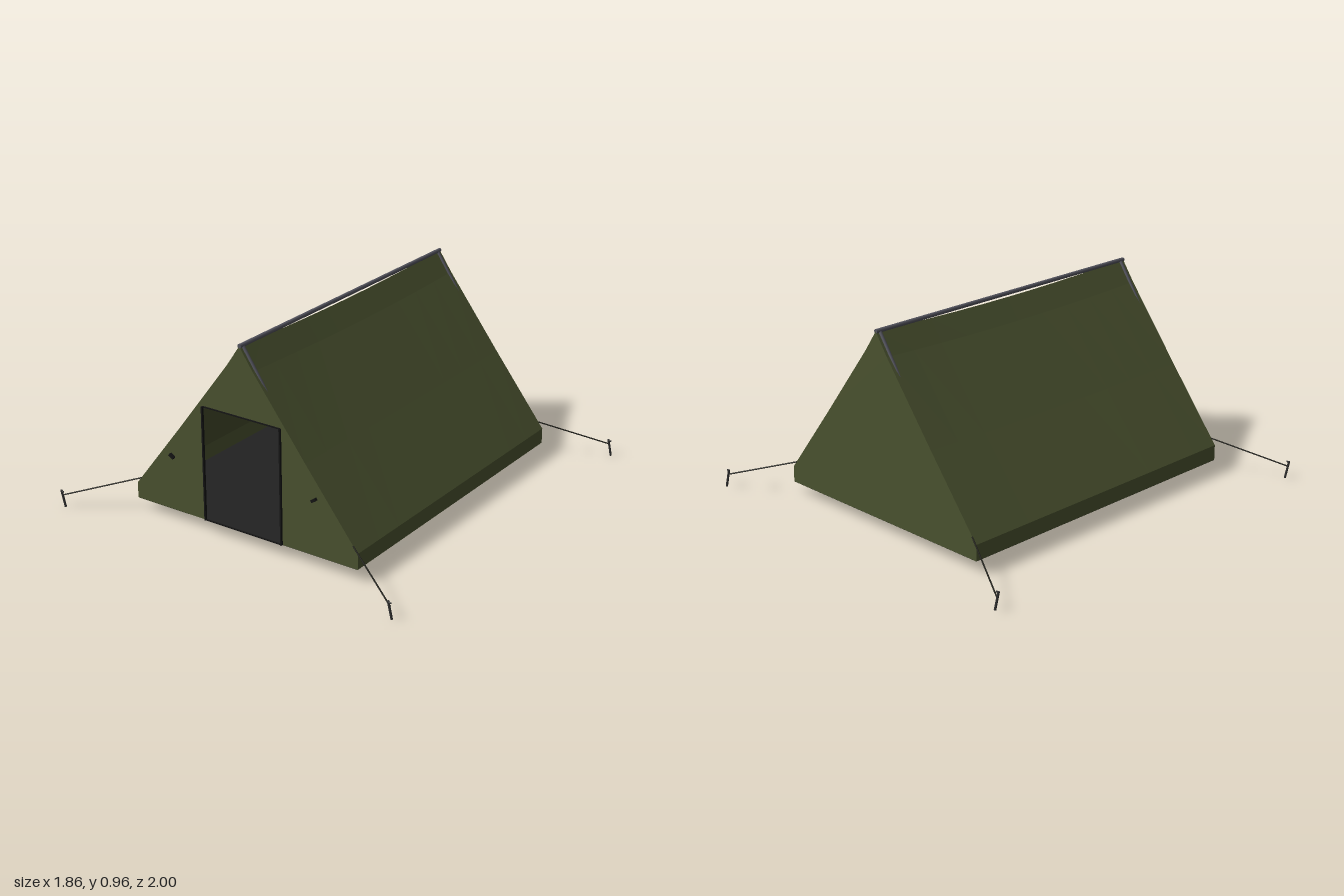
import * as THREE from 'three';

const mat = (name, color, extra = {}) => {
  const m = new THREE.MeshStandardMaterial({ color, ...extra });
  m.name = name;
  return m;
};

const FRONT = 0.806, BACK = -0.815, CX = 0.006, FLOOR = 0.063;
// Half cross-section of the canvas, from floor edge to ridge: [half width, height]
const HALF = [[0.622, FLOOR], [0.622, 0.14], [0.345, 0.495], [0.07, 0.855], [0, 0.957]];

export function createModel() {
  const canvas = mat('olive canvas', 0x4b5330, { side: THREE.DoubleSide, flatShading: true });
  const sheet = mat('black groundsheet', 0x222222, { side: THREE.DoubleSide });
  const metal = mat('grey pole metal', 0x55555f);
  const trim = mat('black trim', 0x141414);
  const cord = mat('dark cord', 0x22221c);
  const steel = mat('stake steel', 0x333333);

  const tent = new THREE.Group();
  tent.name = 'tent';

  const add = (name, geometry, material, parent = tent) => {
    const mesh = new THREE.Mesh(geometry, material);
    mesh.name = name;
    parent.add(mesh);
    return mesh;
  };

  // Round bar between two points
  const bar = (name, a, b, radius, material, parent = tent, sides = 8) => {
    const p = new THREE.Vector3(...a), q = new THREE.Vector3(...b);
    const mesh = add(name, new THREE.CylinderGeometry(radius, radius, p.distanceTo(q), sides), material, parent);
    mesh.position.copy(p).add(q).multiplyScalar(0.5);
    mesh.quaternion.setFromUnitVectors(new THREE.Vector3(0, 1, 0), q.sub(p).normalize());
    return mesh;
  };

  // Roof slopes with their low skirts; the ridge line sags between the ends
  const roofSide = (side) => {
    const steps = 10, pos = [], idx = [], n = HALF.length;
    for (let i = 0; i <= steps; i++) {
      const t = i / steps;
      const sag = 0.02 * (1 - (2 * t - 1) ** 2);
      for (const [w, h] of HALF) {
        const drop = sag * Math.max(0, (h - 0.14) / 0.82);
        pos.push(CX + side * w, h - drop, BACK + t * (FRONT - BACK));
      }
    }
    for (let i = 0; i < steps; i++) {
      for (let j = 0; j < n - 1; j++) {
        const a = i * n + j, b = a + 1, c = a + n, d = c + 1;
        if (side > 0) idx.push(a, b, c, b, d, c);
        else idx.push(a, c, b, b, c, d);
      }
    }
    const g = new THREE.BufferGeometry();
    g.setAttribute('position', new THREE.Float32BufferAttribute(pos, 3));
    g.setIndex(idx);
    g.computeVertexNormals();
    return g;
  };
  add('leftRoof', roofSide(1), canvas);
  add('rightRoof', roofSide(-1), canvas);

  // End walls follow the same profile; the front one has an open doorway
  const door = { left: -0.208, right: 0.222, top: 0.625 };
  const endWall = (open) => {
    const s = new THREE.Shape();
    s.moveTo(CX - HALF[0][0], FLOOR);
    if (open) {
      s.lineTo(door.left, FLOOR);
      s.lineTo(door.left, door.top);
      s.lineTo(door.right, door.top);
      s.lineTo(door.right, FLOOR);
    }
    HALF.forEach(([w, h]) => s.lineTo(CX + w, h));
    HALF.slice(1, -1).reverse().forEach(([w, h]) => s.lineTo(CX - w, h));
    s.closePath();
    return new THREE.ShapeGeometry(s);
  };
  add('frontWall', endWall(true), canvas).position.z = FRONT;
  const back = add('backWall', endWall(false), canvas);
  back.rotation.y = Math.PI;
  back.position.set(2 * CX, 0, BACK);

  // Groundsheet
  const floor = add('groundsheet', new THREE.BoxGeometry(1.24, 0.004, FRONT - BACK - 0.004), sheet);
  floor.position.set(CX, FLOOR, (FRONT + BACK) / 2);

  // Doorway edging
  const doorTrim = new THREE.Group();
  doorTrim.name = 'doorTrim';
  tent.add(doorTrim);
  const dh = door.top - FLOOR, dm = (door.left + door.right) / 2;
  for (const x of [door.left, door.right]) {
    add('doorSideTrim', new THREE.BoxGeometry(0.007, dh, 0.012), trim, doorTrim)
      .position.set(x, FLOOR + dh / 2, FRONT + 0.005);
  }
  for (const y of [FLOOR + 0.002, door.top]) {
    add('doorCrossTrim', new THREE.BoxGeometry(door.right - door.left, 0.004, 0.008), trim, doorTrim)
      .position.set(dm, y, FRONT + 0.003);
  }

  // Small tilted toggles beside the door
  for (const side of [-1, 1]) {
    const toggle = add('toggle', new THREE.BoxGeometry(0.028, 0.013, 0.014), trim);
    toggle.position.set(CX + side * 0.398, 0.337, FRONT + 0.01);
    toggle.rotation.z = side * 0.62;
  }

  // Ridge pole and the A-frame poles at both ends
  bar('ridgePole', [CX, 0.957, BACK], [CX, 0.957, FRONT], 0.01, metal, tent, 12);
  for (const z of [FRONT - 0.022, BACK + 0.022]) {
    for (const side of [-1, 1]) {
      bar('framePole', [CX, 0.955, z], [CX + side * 0.59, FLOOR + 0.01, z], 0.009, metal);
    }
  }

  // Guy lines and leaning stakes at the four corners
  for (const sx of [-1, 1]) {
    for (const sz of [-1, 1]) {
      const guy = new THREE.Group();
      guy.name = 'guyLine';
      tent.add(guy);
      const x = sx * 0.918, z = sz * 0.991;
      bar('rope', [CX + sx * 0.598, 0.17, sz > 0 ? FRONT : BACK], [x, 0.065, z], 0.0035, cord, guy, 6);
      bar('stake', [x + 0.006, 0.003, z - 0.004], [x - 0.008, 0.09, z + 0.004], 0.0055, steel, guy);
      bar('stakeHook', [x - 0.008, 0.087, z + 0.004], [x + 0.008, 0.084, z + 0.007], 0.004, steel, guy, 6);
    }
  }

  return tent;
}
